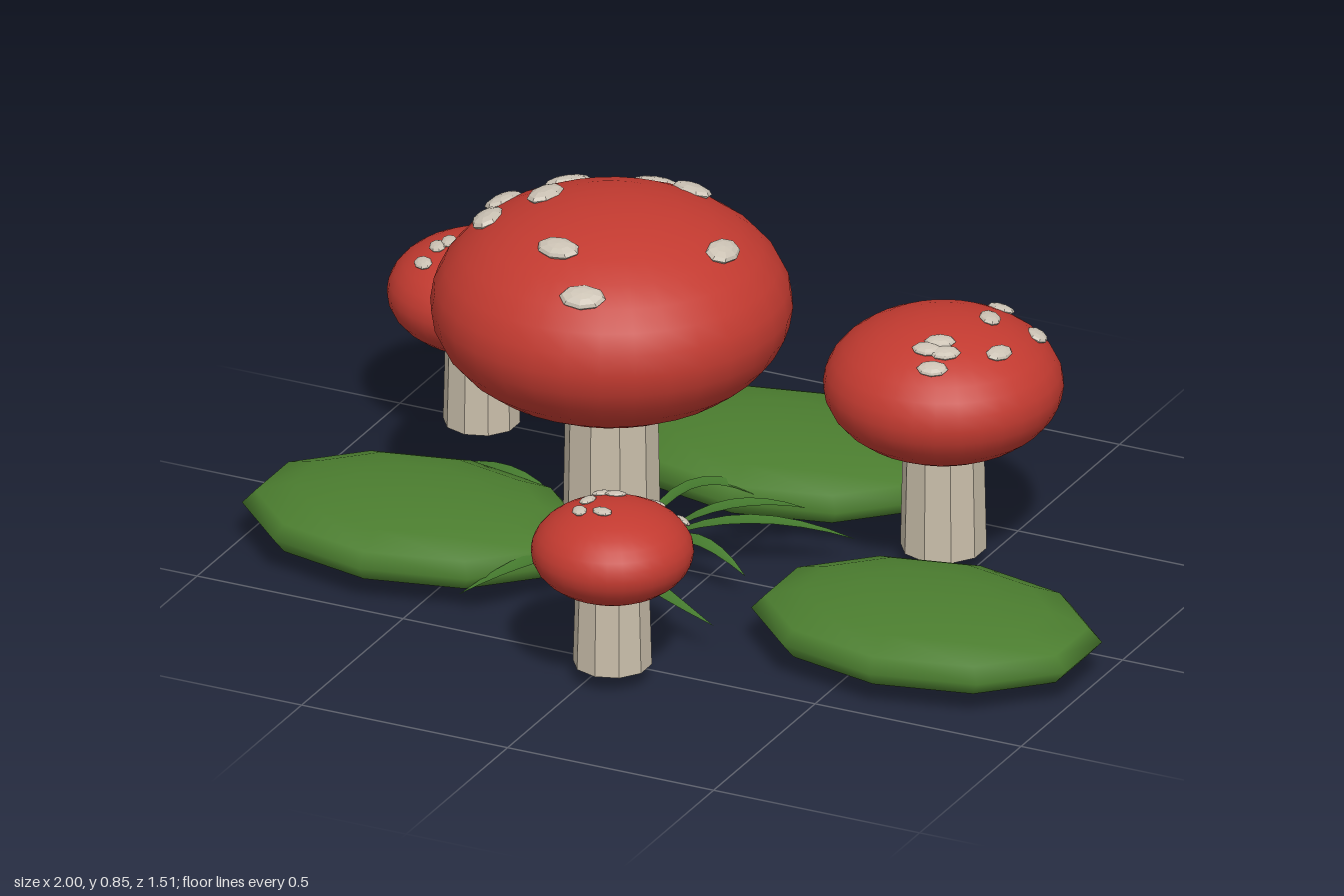
import * as THREE from 'three';

const mat = (name, color, extra = {}) => {
  const m = new THREE.MeshStandardMaterial({ color, ...extra });
  m.name = name;
  return m;
};

export function createModel() {
  const red = mat('capRed', 0xc23a30);
  const cream = mat('stemCream', 0xc9beaa, { flatShading: true });
  const pale = mat('spotPale', 0xcbc2b4, { flatShading: true });
  const green = mat('moundGreen', 0x4b7d2f);
  const leaf = mat('bladeGreen', 0x457a2e, { side: THREE.DoubleSide });

  const model = new THREE.Group();
  model.name = 'mushroomPatch';
  const add = (parent, geo, material, name) => {
    const mesh = new THREE.Mesh(geo, material);
    mesh.name = name;
    parent.add(mesh);
    return mesh;
  };

  // Mushrooms: position, cap radius / centre height / half height, stem radius, spots as [x, z]
  const mushrooms = [
    { name: 'largeMushroom', x: -0.24, z: 0, r: 0.396, y: 0.605, h: 0.241, stem: 0.108, size: 0.052,
      spots: [[-0.286, -0.31], [-0.158, -0.23], [-0.452, -0.214], [-0.532, -0.059], [-0.409, -0.016],
        [-0.51, 0.064], [0.03, 0], [-0.27, 0.203], [-0.163, 0.3]] },
    { name: 'leftMediumMushroom', x: 0.425, z: -0.285, r: 0.263, y: 0.43, h: 0.16, stem: 0.095, size: 0.035,
      spots: [[0.479, -0.46], [0.596, -0.4], [0.51, -0.342], [0.585, -0.235],
        [0.465, -0.187], [0.45, -0.155], [0.49, -0.16], [0.483, -0.112]] },
    { name: 'rightSmallMushroom', x: -0.765, z: -0.425, r: 0.207, y: 0.35, h: 0.126, stem: 0.085, size: 0.028,
      spots: [[-0.88, -0.567], [-0.666, -0.524], [-0.666, -0.449], [-0.671, -0.353],
        [-0.703, -0.257], [-0.853, -0.315], [-0.826, -0.39], [-0.845, -0.37]] },
    { name: 'frontSmallMushroom', x: 0.045, z: 0.575, r: 0.178, y: 0.309, h: 0.108, stem: 0.087, size: 0.024,
      spots: [[0.078, 0.422], [-0.008, 0.444], [0.158, 0.455], [-0.013, 0.508],
        [0.02, 0.508], [-0.019, 0.567], [-0.013, 0.62], [0.04, 0.615]] },
  ];

  for (const m of mushrooms) {
    const g = new THREE.Group();
    g.name = m.name;
    g.position.set(m.x, 0, m.z);
    model.add(g);

    const cap = add(g, new THREE.SphereGeometry(1, 32, 16), red, 'cap');
    cap.scale.set(m.r, m.h, m.r);
    cap.position.y = m.y;

    const stemHeight = m.y - 0.04;
    const stem = add(g, new THREE.CylinderGeometry(m.stem * 0.91, m.stem, stemHeight, 10), cream, 'stem');
    stem.position.y = 0.04 + stemHeight / 2;

    // Flattened warts, longer around the cap than across, lying half into the slope
    for (const [sx, sz] of m.spots) {
      const dx = sx - m.x, dz = sz - m.z;
      const d = Math.hypot(dx, dz);
      const root = Math.sqrt(1 - (d / m.r) ** 2);
      const spot = add(g, new THREE.SphereGeometry(1, 8, 6), pale, 'spot');
      spot.scale.set(m.size * 0.68, m.size * 0.28, m.size);
      spot.position.set(dx, m.y + m.h * root + 0.002, dz);
      const slope = Math.atan((m.h * d) / (m.r * m.r * root));
      spot.rotation.set(0, Math.atan2(-dz, dx), -slope * 0.6, 'YXZ');
    }
  }

  // Low ten-sided moss mounds
  for (const [x, z] of [[-0.618, 0.19], [0.618, 0.19], [-0.05, -0.47]]) {
    const geo = new THREE.SphereGeometry(1, 10, 8).rotateY(Math.PI / 2);
    geo.scale(0.402, 0.085, 0.286);
    add(model, geo, green, 'mossMound').position.set(x, 0.086, z);
  }

  // Arching grass blades: a tapered ribbon swept along a curve, with a slight centre fold
  const blade = (a, b, c, width) => {
    const curve = new THREE.QuadraticBezierCurve3(
      new THREE.Vector3(...a), new THREE.Vector3(...b), new THREE.Vector3(...c));
    const n = 8, pos = [], idx = [];
    for (let i = 0; i <= n; i++) {
      const t = i / n, p = curve.getPoint(t), d = curve.getTangent(t);
      const side = new THREE.Vector3(-d.z, 0, d.x).normalize();
      const w = width * Math.sin(Math.PI * (0.08 + 0.92 * t)) ** 0.8;
      for (const s of [-1, 0, 1]) pos.push(p.x + side.x * w * s, p.y - (s ? 0 : w * 0.25), p.z + side.z * w * s);
      if (i < n) for (const k of [0, 1]) {
        const q = i * 3 + k;
        idx.push(q, q + 3, q + 1, q + 1, q + 3, q + 4);
      }
    }
    const geo = new THREE.BufferGeometry();
    geo.setAttribute('position', new THREE.Float32BufferAttribute(pos, 3));
    geo.setIndex(idx);
    geo.computeVertexNormals();
    add(model, geo, leaf, 'grassBlade');
  };
  const blades = [
    [[-0.15, 0.05, 0.1], [-0.08, 0.16, 0.33], [0.19, 0.07, 0.37]],
    [[-0.24, 0.05, 0.1], [-0.23, 0.18, 0.36], [-0.4, 0.05, 0.43]],
    [[-0.3, 0.05, -0.1], [-0.42, 0.18, -0.2], [-0.44, 0.09, -0.41]],
    [[-0.33, 0.05, 0], [-0.48, 0.18, -0.02], [-0.67, 0.08, -0.13]],
    [[-0.3, 0.05, 0.06], [-0.4, 0.18, 0.14], [-0.42, 0.06, 0.3]],
    [[-0.14, 0.05, -0.05], [0, 0.18, -0.08], [0.13, 0.1, -0.21]],
    [[-0.14, 0.05, -0.02], [0.06, 0.18, -0.04], [0.26, 0.06, -0.19]],
    [[-0.2, 0.05, -0.1], [-0.14, 0.18, -0.22], [0.04, 0.09, -0.22]],
    [[-0.14, 0.05, 0.04], [-0.02, 0.17, 0.06], [0.12, 0.05, 0.07]],
  ];
  for (const [a, b, c] of blades) blade(a, b, c, 0.024);

  return model;
}
